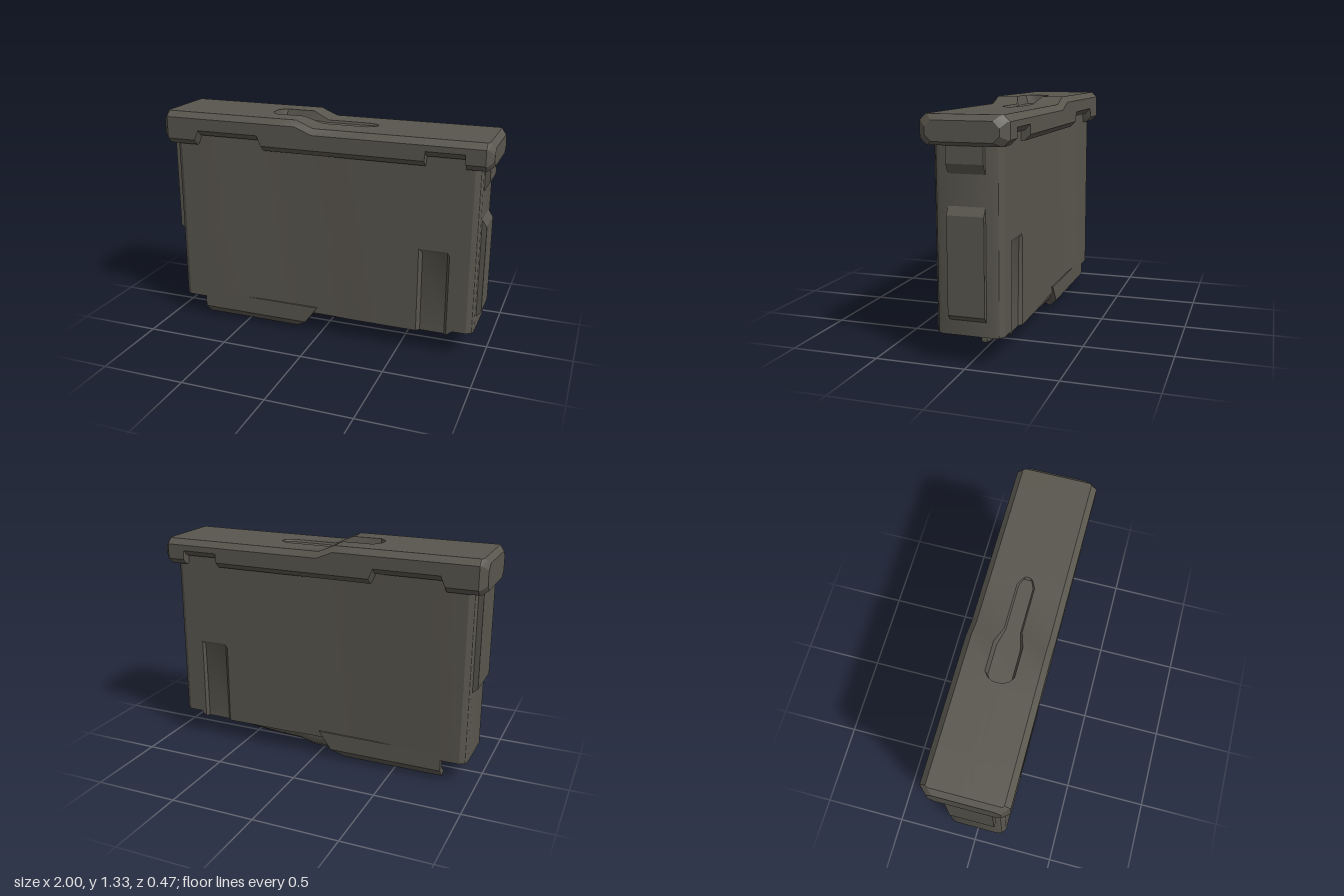
import * as THREE from 'three';
import { toCreasedNormals } from 'three/addons/utils/BufferGeometryUtils.js';

const steel = new THREE.MeshStandardMaterial({ color: 0x59564e });
steel.name = 'darkSteel';

// Skin a series of equal-length closed rings of [x, y, z] points
function loft(rings, capped = true) {
  const out = [];
  const n = rings[0].length;
  const tri = (a, b, c) => out.push(...a, ...b, ...c);
  for (let i = 0; i < rings.length - 1; i++) {
    for (let j = 0; j < n; j++) {
      const k = (j + 1) % n;
      const a = rings[i][j], b = rings[i + 1][j], c = rings[i + 1][k], d = rings[i][k];
      tri(a, b, c);
      tri(a, c, d);
    }
  }
  if (capped) {
    const s = rings[0], e = rings[rings.length - 1];
    for (let j = 1; j < n - 1; j++) {
      tri(s[0], s[j], s[j + 1]);
      tri(e[0], e[j + 1], e[j]);
    }
  }
  const g = new THREE.BufferGeometry();
  g.setAttribute('position', new THREE.Float32BufferAttribute(out, 3));
  return toCreasedNormals(g, 0.5);
}

// Piecewise linear lookup in a list of [x, value]
function at(keys, x) {
  if (x <= keys[0][0]) return keys[0][1];
  for (let i = 1; i < keys.length; i++) {
    const [x0, v0] = keys[i - 1], [x1, v1] = keys[i];
    if (x <= x1) return v0 + (v1 - v0) * (x - x0) / (x1 - x0);
  }
  return keys[keys.length - 1][1];
}

// Floor plate: stepped top, notched lower edge and a keyhole groove
function basePlate() {
  const width = [[-1, 0.195], [-0.96, 0.237], [0.96, 0.237], [1, 0.195]];
  const top = [[-1, 1.31], [-0.97, 1.337], [-0.13, 1.337], [-0.03, 1.295], [0.97, 1.295], [1, 1.265]];
  const bottom = [[-1, 1.16], [-0.97, 1.14], [-0.78, 1.14], [-0.755, 1.2], [-0.37, 1.2], [-0.345, 1.14],
    [0.628, 1.14], [0.632, 1.195], [0.85, 1.195], [0.854, 1.14], [0.97, 1.14], [1, 1.16]];
  const groove = [[-0.35, 0.025], [-0.335, 0.055], [-0.305, 0.08], [-0.13, 0.08], [-0.03, 0.05],
    [0.24, 0.05], [0.28, 0.03], [0.295, 0.015]];
  const floor = [[-0.35, 1.337], [-0.34, 1.283], [0.285, 1.283], [0.295, 1.295]];
  const xs = [...new Set([width, top, bottom, groove, floor].flat().map(k => k[0]))].sort((a, b) => a - b);
  const c = 0.033;
  return loft(xs.map(x => {
    const w = at(width, x), t = at(top, x), b = at(bottom, x), h = at(groove, x);
    const f = x > -0.35 && x < 0.295 ? Math.min(t, at(floor, x)) : t;
    return [
      [w - c, t], [h, t], [h * 0.82, f], [-h * 0.82, f], [-h, t], [c - w, t], [-w, t - c],
      [-w, b + c], [c - w, b], [w - c, b], [w, b + c], [w, t - c],
    ].map(([z, y]) => [x, y, z]);
  }));
}

// Hollow casing with pressed panels near the front of both sides
function casing() {
  const side = [[-0.94, 0.14], [-0.93, 0.165], [-0.9, 0.185], [-0.5, 0.185], [-0.38, 0.177], [0.02, 0.175],
    [0.2, 0.183], [0.605, 0.185], [0.625, 0.185], [0.77, 0.185], [0.785, 0.185], [0.82, 0.185],
    [0.9, 0.185], [0.93, 0.165], [0.94, 0.14]];
  const edge = x => at([[0.785, 0.13], [0.82, 0.16]], x);
  const ring = (y, press, wall) => {
    const half = side.map(([x, z]) => {
      const dent = x > 0.61 && x < 0.78 ? press : 0;
      return [x * (1 - wall / 0.94), y ?? edge(x), z - dent - wall];
    });
    return [...half, ...half.map(([x, h, z]) => [x, h, -z]).reverse()];
  };
  return loft([
    ring(1.25, 0, 0), ring(0.645, 0, 0), ring(0.62, 0.014, 0), ring(null, 0.02, 0),
    ring(null, 0.02, 0.033), ring(0.62, 0.014, 0.033), ring(1.22, 0, 0.033),
  ], false);
}

// Feed lip bent inwards below the casing
function feedLip() {
  const section = [[0.153, 0.08], [0.153, 0.17], [0.185, 0.17], [0.185, 0.062], [0.127, 0.003], [0.1, 0.027]].reverse();
  section.unshift(section.pop()); // fan from the inner bend
  const cut = y => Math.min(-0.02, -0.17 + y * 1.15);
  const g1 = section.map(([z, y]) => [-0.79, y, z]);
  const g2 = section.map(([z, y]) => [cut(y), y, z]);
  // keep the ring running top to bottom on the -z side
  const area = section.reduce((s, [z, y], i) => {
    const [z2, y2] = section[(i + 1) % section.length];
    return s + z * y2 - z2 * y;
  }, 0);
  const fix = r => (area > 0 ? r : [r[0], ...r.slice(1).reverse()]);
  return loft([fix(g1), fix(g2)]);
}

// Raised rib on an end wall, from a side profile of [x, y]
function rib(profile, depth) {
  const shape = new THREE.Shape(profile.map(p => new THREE.Vector2(...p)));
  return new THREE.ExtrudeGeometry(shape, { depth, bevelEnabled: false }).translate(0, 0, -depth / 2);
}

// Pointed round lying along x
function round() {
  const profile = [[0, -0.76], [0.085, -0.76], [0.095, -0.74], [0.095, 0.05], [0.072, 0.15], [0.066, 0.3],
    [0.045, 0.6], [0.028, 0.81], [0.018, 0.84], [0, 0.845]].map(p => new THREE.Vector2(...p));
  const g = new THREE.LatheGeometry(profile, 10).rotateZ(-Math.PI / 2).toNonIndexed();
  return toCreasedNormals(g, 0.7);
}

export function createModel() {
  const model = new THREE.Group();
  model.name = 'boxMagazine';
  const add = (name, geometry) => {
    const mesh = new THREE.Mesh(geometry, steel);
    mesh.name = name;
    model.add(mesh);
    return mesh;
  };

  add('basePlate', basePlate());
  add('casing', casing());
  add('leftFeedLip', feedLip());
  add('rightFeedLip', feedLip()).scale.z = -1;

  // End wall ribs
  add('frontLowerRib', rib([[0.93, 0.23], [0.968, 0.27], [0.968, 0.79], [0.93, 0.85]], 0.2));
  add('frontUpperRib', rib([[0.93, 0.98], [0.968, 1.05], [0.968, 1.16], [0.93, 1.16]], 0.2));
  add('rearRib', rib([[-0.93, 0.55], [-0.93, 1.16], [-0.97, 1.16], [-0.97, 0.585]].reverse(), 0.27));

  // Inside: follower plate and the top round
  add('follower', new THREE.BoxGeometry(1.78, 0.03, 0.27).translate(0, 0.225, 0));
  add('round', round()).position.set(0, 0.113, -0.05);
  return model;
}
